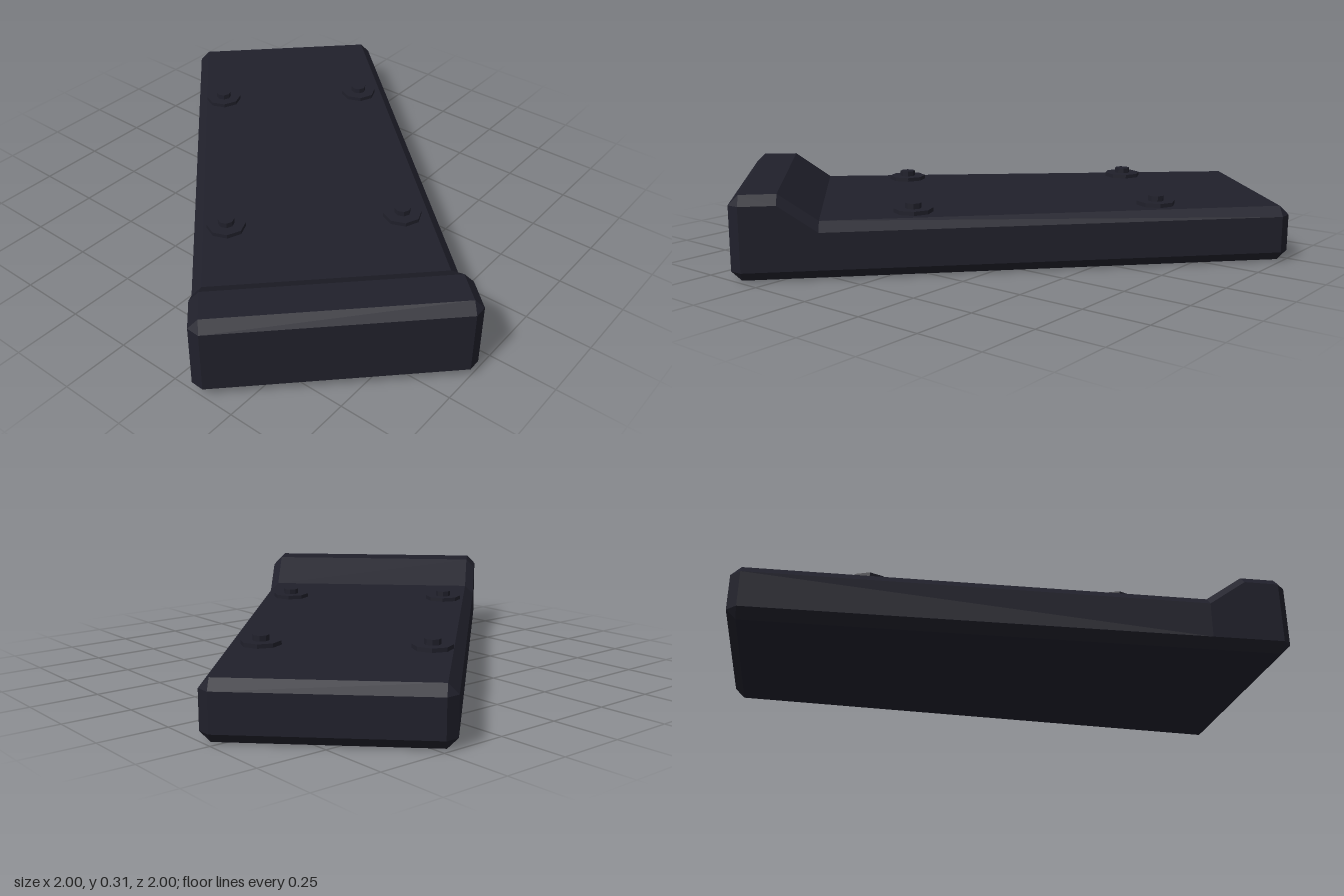
import * as THREE from 'three';

const CHAMFER = 0.035;
const material = new THREE.MeshStandardMaterial({ color: 0x20202b, flatShading: true });

// Half width of the tapered body at a position along its length
const halfWidth = (x) => THREE.MathUtils.mapLinear(x, -0.94, 1.018, 0.474, 0.396);

// Chamfered cross-section; end sections shrink to a rectangle to bevel the ends
function section(x, top, isEnd) {
  const c = CHAMFER;
  const w = isEnd ? halfWidth(x) - c : halfWidth(x);
  const inner = isEnd ? w : w - c;
  const low = isEnd ? c : 0;
  const high = isEnd ? top - c : top;
  return [
    [-inner, low], [-w, c], [-w, top - c], [-inner, high],
    [inner, high], [w, top - c], [w, c], [inner, low],
  ].map(([z, y]) => [x, y, z]);
}

function bodyGeometry() {
  const sections = [
    section(-0.976, 0.305, true),
    section(-0.94, 0.305),
    section(-0.81, 0.305),
    section(-0.67, 0.205),
    section(1.018, 0.205),
    section(1.054, 0.205, true),
  ];
  const positions = [];
  const quad = (a, b, c, d) => positions.push(...a, ...b, ...c, ...a, ...c, ...d);
  for (let k = 0; k < sections.length - 1; k++) {
    const s = sections[k], t = sections[k + 1];
    for (let i = 0; i < 8; i++) {
      const j = (i + 1) % 8;
      quad(s[i], s[j], t[j], t[i]);
    }
  }
  // End caps
  const first = sections[0], last = sections[sections.length - 1];
  quad(first[6], first[5], first[2], first[1]);
  quad(last[1], last[2], last[5], last[6]);

  const geometry = new THREE.BufferGeometry();
  geometry.setAttribute('position', new THREE.Float32BufferAttribute(positions, 3));
  geometry.computeVertexNormals();
  return geometry;
}

// Octagonal washer with a small raised bolt head
function createStud() {
  const stud = new THREE.Group();
  stud.name = 'stud';
  const washer = new THREE.Mesh(new THREE.CylinderGeometry(0.072, 0.072, 0.03, 8), material);
  washer.name = 'washer';
  washer.position.y = 0.205;
  const head = new THREE.Mesh(new THREE.CylinderGeometry(0.03, 0.03, 0.04, 8), material);
  head.name = 'boltHead';
  head.position.y = 0.22;
  stud.add(washer, head);
  return stud;
}

export function createModel() {
  const model = new THREE.Group();
  model.name = 'taperedSlab';

  const body = new THREE.Mesh(bodyGeometry(), material);
  body.name = 'body';
  model.add(body);

  // Four studs on the upper face
  for (const [x, z] of [[-0.342, -0.331], [-0.338, 0.317], [0.573, -0.306], [0.566, 0.283]]) {
    const stud = createStud();
    stud.position.set(x, 0, z);
    model.add(stud);
  }

  // The slab lies diagonally
  model.rotation.y = Math.PI / 4;
  const root = new THREE.Group();
  root.name = 'model';
  root.add(model);
  return root;
}
